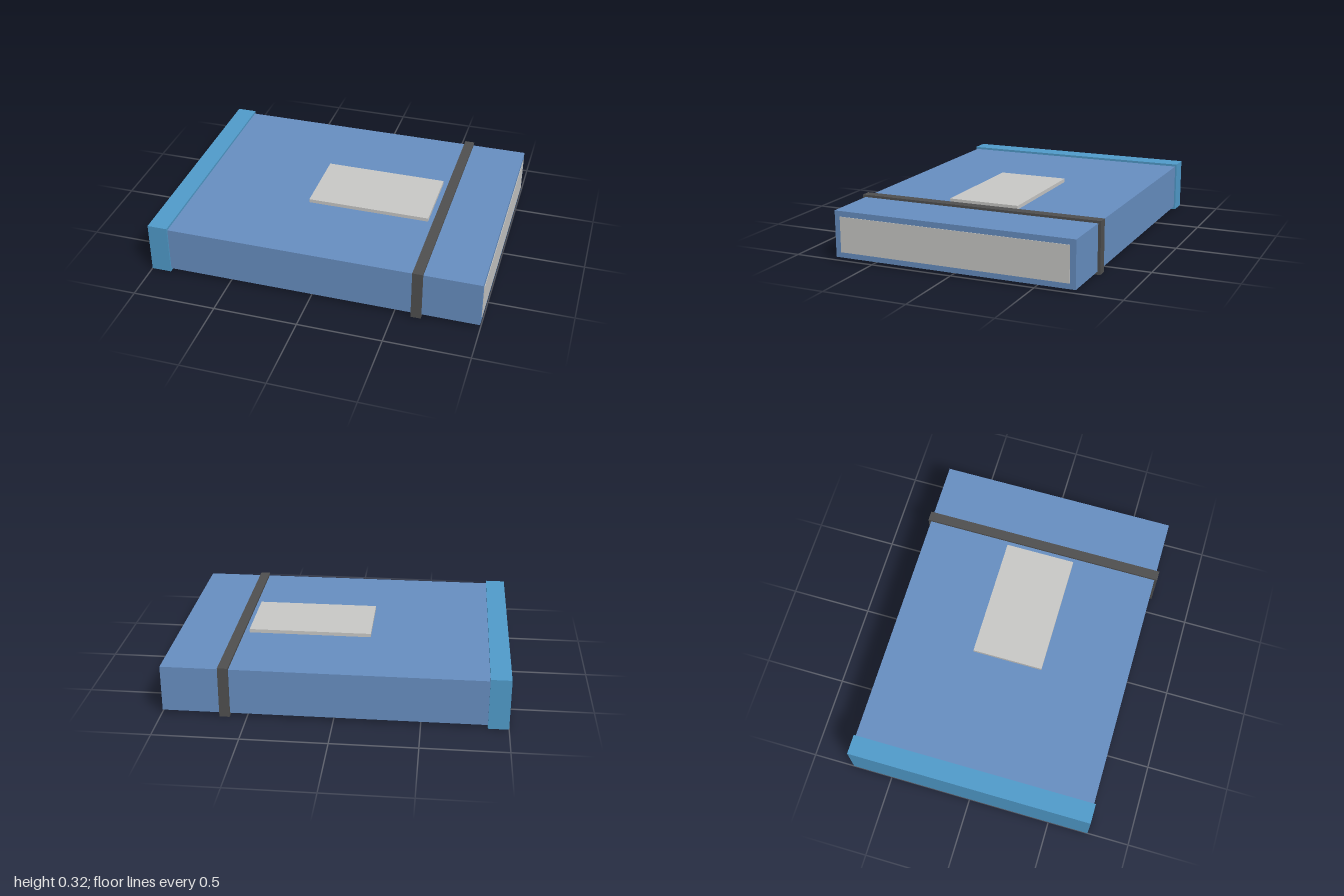
import * as THREE from 'three';

const material = (name, color) => {
  const m = new THREE.MeshStandardMaterial({ color });
  m.name = name;
  return m;
};

export function createModel() {
  const model = new THREE.Group();
  model.name = 'strappedBinder';
  const blue = material('coverBlue', 0x6890c3);
  const cyan = material('spineBlue', 0x519dcd);
  const grey = material('paperGrey', 0xcacac8);
  const dark = material('strapGrey', 0x505050);

  // Box given by its extents in x and y and its half depth in z
  const addBox = (name, mat, x0, x1, y0, y1, halfZ) => {
    const mesh = new THREE.Mesh(new THREE.BoxGeometry(x1 - x0, y1 - y0, halfZ * 2), mat);
    mesh.position.set((x0 + x1) / 2, (y0 + y1) / 2, 0);
    mesh.name = name;
    model.add(mesh);
  };

  // Main block, with the spine cap wrapped around its -x end
  addBox('cover', blue, -0.98, 0.997, 0.018, 0.295, 0.736);
  addBox('spine', cyan, -1, -0.88, 0, 0.309, 0.746);

  // Page edges on the +x end and the raised label on top
  addBox('pageEdges', grey, 0.992, 1, 0.05, 0.262, 0.702);
  addBox('label', grey, -0.172, 0.568, 0.29, 0.317, 0.216);

  // Closing strap: a rectangular band around the block
  const band = (halfZ, y0, y1, Path) => {
    const p = new Path();
    p.moveTo(-halfZ, y0).lineTo(halfZ, y0).lineTo(halfZ, y1).lineTo(-halfZ, y1).closePath();
    return p;
  };
  const outline = band(0.753, 0, 0.309, THREE.Shape);
  outline.holes.push(band(0.734, 0.02, 0.293, THREE.Path));
  const strap = new THREE.Mesh(
    new THREE.ExtrudeGeometry(outline, { depth: 0.06, bevelEnabled: false }), dark);
  strap.rotation.y = Math.PI / 2;
  strap.position.x = 0.6;
  strap.name = 'strap';
  model.add(strap);

  return model;
}
